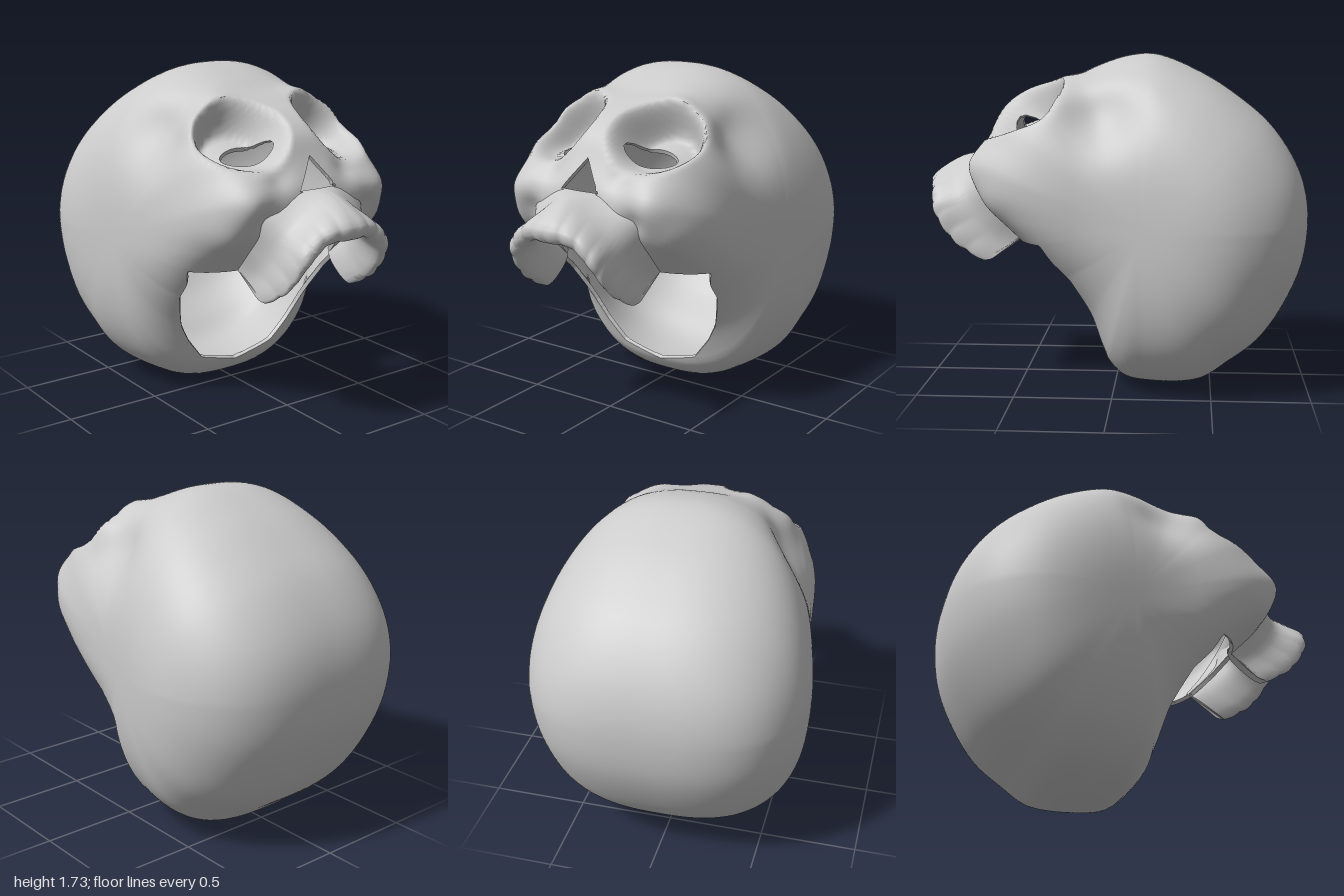
import * as THREE from 'three';
import { toCreasedNormals } from 'three/addons/utils/BufferGeometryUtils.js';

const bone = new THREE.MeshStandardMaterial({ color: 0xcccccc, side: THREE.DoubleSide });
const CY = 0.88, CZ = -0.15; // middle of the braincase
const WALL = 0.022;
const { smoothstep, clamp } = THREE.MathUtils;

// Linear look-up in a table of [key, value] rows
function lookup(table, k) {
  let i = 1;
  while (i < table.length - 1 && table[i][0] < k) i++;
  const [a, va] = table[i - 1], [b, vb] = table[i];
  return va + (vb - va) * (k - a) / (b - a || 1);
}

// Midline outline of the shell as [z, y]: underside, face, crown, back
const midline = [
  [-.2, .005], [-.05, .03], [.04, .12], [.06, .17], [.14, .35], [.3, .56], [.47, .76], [.62, .92], [.72, 1.08],
  [.72, 1.2], [.655, 1.34], [.59, 1.46], [.48, 1.54], [.35, 1.585], [.2, 1.625], [.1, 1.67], [-.05, 1.72], [-.2, 1.73],
  [-.45, 1.63], [-.65, 1.5], [-.8, 1.37], [-.92, 1.2], [-.98, 1.05], [-1, .88], [-.97, .65], [-.87, .42],
  [-.75, .25], [-.6, .13], [-.45, .03],
];
const outline = new THREE.CatmullRomCurve3(midline.map(([z, y]) => new THREE.Vector3(0, y, z)), true)
  .getPoints(500).map(p => [Math.atan2(p.y - CY, p.z - CZ), Math.hypot(p.y - CY, p.z - CZ)])
  .sort((a, b) => a[0] - b[0]);

// Squareness of the cross-section by angle around the head, in degrees
const squareness = [[-180, 2.9], [-120, 2.7], [-90, 2.6], [-60, 2.8], [-35, 3.1], [-8, 3.8], [20, 4], [35, 3.3],
  [50, 2.8], [90, 2.4], [140, 2.6], [180, 2.9]];

// Bumps and hollows: centre, radius, push (mirrored in x)
const bumps = [
  [.28, 1.57, .25, .12, 0, .035, .01],  // brow ridge
  [.46, 1.49, .25, .1, .02, .03, .02],  // outer brow
  [.55, 1.44, .05, .18, -.075, 0, 0],   // temple
  [.2, 1.28, .66, .07, 0, -.02, -.02],  // beside the nose
  [.4, 1.18, .66, .11, 0, 0, .045],     // cheekbone
  [.3, 1.08, .7, .06, 0, 0, -.03],      // hollow of the cheek
  [.45, 1.0, .58, .1, 0, -.01, .025],   // lower cheek
];
const socketV = (y, z) => -.69 * (y - 1.45) + .73 * (z - .45);

// Point on the outer skull: t runs around the head, a from right ear to left ear
function skullPoint(t, a) {
  const n = lookup(squareness, t * 180 / Math.PI);
  const s = Math.sin(a), c = Math.abs(Math.cos(a));
  const k = Math.pow(Math.pow(Math.abs(s), n) + Math.pow(c, n), -1 / n);
  const r = lookup(outline, t) * k * c;
  const p = new THREE.Vector3(0, CY + r * Math.sin(t), CZ + r * Math.cos(t));
  p.x = k * s * (.61 + .137 * (1 - smoothstep(p.z, -.65, .2)));
  const side = Math.sign(p.x), ax = Math.abs(p.x), { y, z } = p;
  for (const [bx, by, bz, br, dx, dy, dz] of bumps) {
    const g = Math.exp(-((ax - bx) ** 2 + (y - by) ** 2 + (z - bz) ** 2) / (br * br));
    p.x += side * dx * g;
    p.y += dy * g;
    p.z += dz * g;
  }
  // eye socket dish, deepest under the brow
  if (z > .05 && y > 1.15) {
    const v = socketV(y, z);
    const d = Math.hypot((ax - .26) / (ax < .26 ? .93 : 1), (v - .01) / 1.1);
    const push = clamp(.185 - .5 * (v - .07), .13, .23) * (1 - smoothstep(d, .115, .23));
    p.y -= .73 * push;
    p.z -= .69 * push;
  }
  return p;
}

// Positive inside the eye, nose and underside openings
const openingWidth = [[.06, -.2], [.12, 0], [.18, .23], [.3, .33], [.4, .39], [.6, .47], [.7, .485], [.8, .525]];
function hole({ x, y, z }) {
  if (z < 0) return -1;
  const ax = Math.abs(x);
  const eye = y > 1.1 && z > .1 ? .085 - Math.hypot((ax - .22) * .75, socketV(y, z) - .05) : -1;
  const nose = z > .4 ? Math.min(y - 1.2, (1.355 - y) * .75 - ax) : -1;
  const arch = .79 + .21 * Math.sqrt(Math.max(0, 1 - (ax / .27) ** 2));
  return Math.max(eye, nose, Math.min(lookup(openingWidth, y) - ax, arch - y));
}

// Hollow shell: grid, cut by the openings, then given a wall thickness
function skullGeometry() {
  const N = 210, M = 130, verts = [], field = [], tris = [], rim = [], cuts = new Map();
  const add = (p) => { verts.push(p); field.push(hole(p)); return verts.length - 1; };
  const poles = [-1, 1].map(s => add(skullPoint(0, s * Math.PI / 2)));
  const grid = [];
  for (let i = 0; i < N; i++) {
    grid.push([]);
    for (let j = 0; j <= M; j++) {
      grid[i].push(j === 0 ? poles[0] : j === M ? poles[1]
        : add(skullPoint(-Math.PI + 2 * Math.PI * i / N, (j / M - .5) * Math.PI)));
    }
  }
  const cut = (u, v) => {
    const key = Math.min(u, v) + '_' + Math.max(u, v);
    if (!cuts.has(key)) cuts.set(key, add(verts[u].clone().lerp(verts[v], field[u] / (field[u] - field[v]))));
    return cuts.get(key);
  };
  const clip = (tri) => {
    if (new Set(tri).size < 3) return;
    const poly = [];
    let leave, enter;
    tri.forEach((u, e) => {
      const v = tri[(e + 1) % 3], inU = field[u] <= 0, inV = field[v] <= 0;
      if (inU) poly.push(u);
      if (inU !== inV) {
        const w = cut(u, v);
        poly.push(w);
        if (inU) leave = w; else enter = w;
      }
    });
    for (let e = 2; e < poly.length; e++) tris.push([poly[0], poly[e - 1], poly[e]]);
    if (leave !== undefined) rim.push([leave, enter]);
  };
  for (let i = 0; i < N; i++) {
    const A = grid[i], B = grid[(i + 1) % N];
    for (let j = 0; j < M; j++) {
      clip([A[j], A[j + 1], B[j + 1]]);
      clip([A[j], B[j + 1], B[j]]);
    }
  }
  const outer = new THREE.BufferGeometry().setFromPoints(verts);
  outer.setIndex(tris.flat());
  outer.computeVertexNormals();
  const normal = outer.getAttribute('normal'), n = verts.length;
  const inner = verts.map((p, i) => p.clone().addScaledVector(new THREE.Vector3().fromBufferAttribute(normal, i), -WALL));
  const index = tris.flat();
  for (const [a, b, c] of tris) index.push(a + n, c + n, b + n);
  for (const [p, q] of rim) index.push(q, p, p + n, q, p + n, q + n);
  const shell = new THREE.BufferGeometry().setFromPoints([...verts, ...inner]);
  shell.setIndex(index);
  return toCreasedNormals(shell, 1.2);
}

// Upper jaw rails, from the middle of the mouth to the back teeth (left half)
const rails = [
  [[0, 1.2, .71], [.16, 1.19, .685], [.32, 1.1, .66], [.34, .95, .57], [.31, .81, .46]],       // root on the face
  [[0, 1.19, .83], [.13, 1.13, .81], [.25, 1.01, .78], [.285, .88, .7], [.295, .745, .55]],    // upper gum
  [[0, 1.075, .995], [.15, 1.055, .965], [.26, .96, .93], [.285, .81, .83], [.3, .68, .64]],   // gum line
  [[0, 1.02, .985], [.14, 1.01, .965], [.245, .92, .945], [.275, .77, .84], [.29, .665, .68]], // tooth edge
  [[0, 1.0, .95], [.12, .99, .93], [.21, .91, .92], [.245, .77, .82], [.26, .665, .66]],       // inner tooth edge
  [[0, 1.1, .8], [.12, 1.06, .77], [.22, .97, .74], [.26, .87, .65], [.265, .77, .5]],         // inner root
];
function jawGeometry() {
  const S = 112, V = 30, points = [], index = [];
  const curves = rails.map(half => new THREE.CatmullRomCurve3([
    ...half.slice(1).reverse().map(([x, y, z]) => new THREE.Vector3(-x, y, z)),
    ...half.map(p => new THREE.Vector3(...p)),
  ]));
  for (let s = 0; s <= S; s++) {
    const ring = curves.map(c => c.getPoint(s / S));
    // tooth scallops
    const tooth = .008 * (Math.abs(Math.sin(s / S * Math.PI * 14)) - .7);
    ring[2].add(new THREE.Vector3(Math.sign(ring[2].x) * tooth * .4, 0, tooth));
    ring[3].add(new THREE.Vector3(0, -tooth, tooth * .5));
    const loop = new THREE.CatmullRomCurve3(ring, true);
    for (let v = 0; v < V; v++) points.push(loop.getPoint(v / V));
  }
  for (let s = 0; s < S; s++) {
    for (let v = 0; v < V; v++) {
      const a = s * V + v, b = s * V + (v + 1) % V;
      index.push(a, b, b + V, a, b + V, a + V);
    }
  }
  // end caps
  for (let v = 1; v < V - 1; v++) {
    const e = S * V;
    index.push(0, v + 1, v, e, e + v, e + v + 1);
  }
  const g = new THREE.BufferGeometry().setFromPoints(points);
  g.setIndex(index);
  return toCreasedNormals(g, 1.2);
}

export function createModel() {
  const group = new THREE.Group();
  const part = (name, geometry) => {
    const mesh = new THREE.Mesh(geometry, bone);
    mesh.name = name;
    group.add(mesh);
  };
  part('skullShell', skullGeometry());
  part('upperJaw', jawGeometry());
  return group;
}
